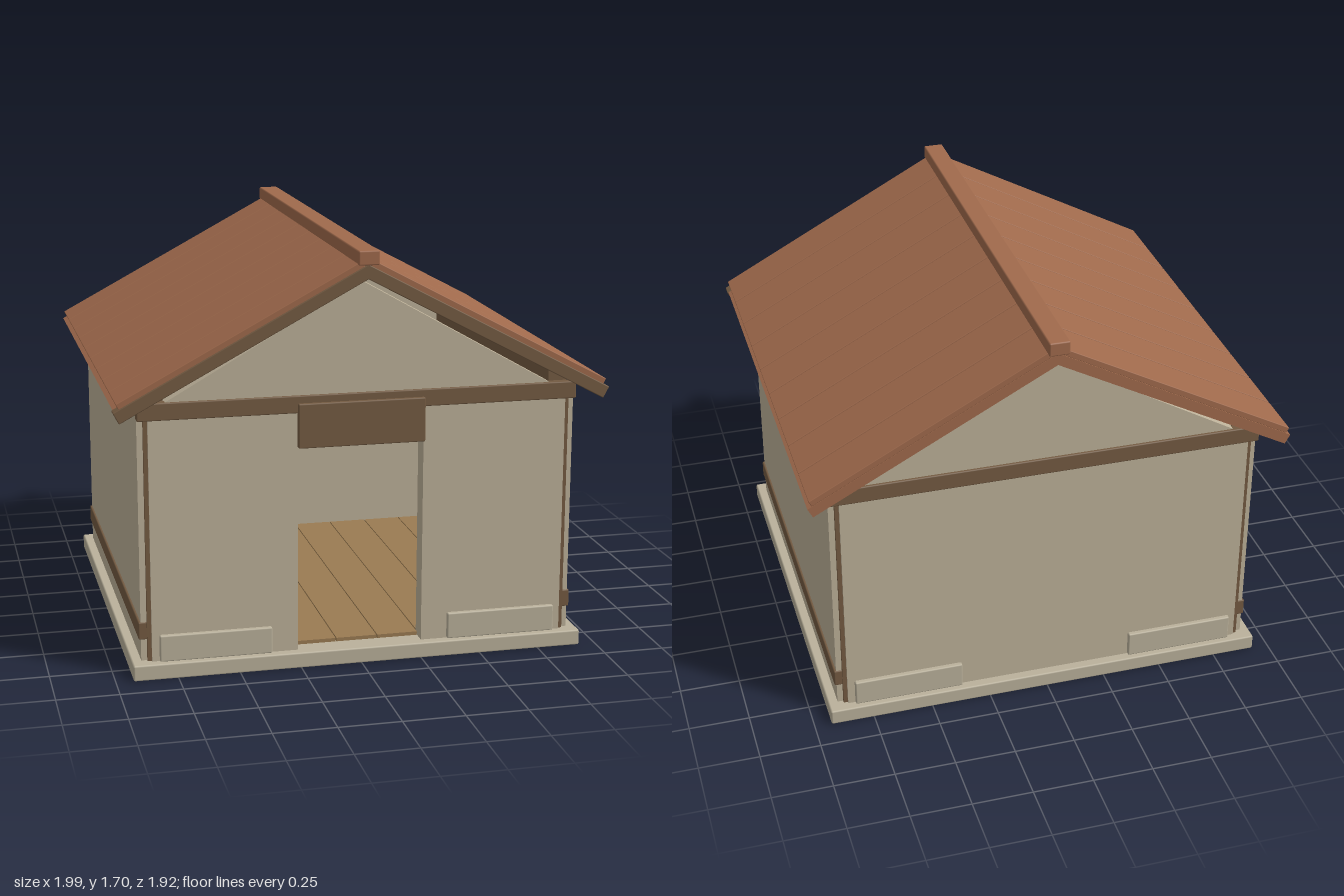
import * as THREE from 'three';
import { RoundedBoxGeometry } from 'three/addons/geometries/RoundedBoxGeometry.js';

const material = (name, color) => Object.assign(new THREE.MeshStandardMaterial({ color }), { name });

export function createModel() {
  const plaster = material('plaster', 0xbdb199);
  const stone = material('stone', 0xbab19b);
  const timber = material('dark timber', 0x745b42);
  const roofing = material('roof red', 0xa06a4c);
  const flooring = material('floor wood', 0x9a7b52);
  const linen = material('linen', 0xc6bca4);

  const model = new THREE.Group();
  model.name = 'hut';

  // box given by its extents; bevel > 0 softens the edges
  function block(name, mat, [x0, x1], [y0, y1], [z0, z1], bevel = 0, parent = model) {
    const size = [x1 - x0, y1 - y0, z1 - z0];
    const geo = bevel
      ? new RoundedBoxGeometry(...size, 1, bevel)
      : new THREE.BoxGeometry(...size);
    const mesh = new THREE.Mesh(geo, mat);
    mesh.position.set((x0 + x1) / 2, (y0 + y1) / 2, (z0 + z1) / 2);
    mesh.name = name;
    parent.add(mesh);
    return mesh;
  }
  // extents on one side of the centre plane
  const span = (side, near, far) => (side > 0 ? [near, far] : [-far, -near]);

  // base and floor
  block('foundation', stone, [-0.93, 0.93], [0, 0.065], [-0.885, 0.885], 0.007);
  for (let i = -4; i <= 4; i++) {
    const x = i * 0.172;
    block('floorPlank', flooring, [x - 0.084, x + 0.084], [0.06, 0.08], [-0.79, 0.79]);
  }

  // front wall around the doorway, and solid back wall
  for (const s of [-1, 1]) block('frontWall', plaster, span(s, 0.257, 0.85), [0.065, 1.1], [0.77, 0.847]);
  block('doorHeader', plaster, [-0.257, 0.257], [0.93, 1.1], [0.77, 0.847]);
  block('backWall', plaster, [-0.85, 0.85], [0.065, 1.1], [-0.847, -0.77]);
  block('doorLintel', timber, [-0.258, 0.258], [0.91, 1.09], [0.84, 0.873], 0.005);

  // gable triangles
  const triangle = new THREE.Shape([
    new THREE.Vector2(-0.85, 1.08), new THREE.Vector2(0.85, 1.08), new THREE.Vector2(0, 1.565),
  ]);
  for (const z of [0.77, -0.845]) {
    const gable = new THREE.Mesh(new THREE.ExtrudeGeometry(triangle, { depth: 0.075, bevelEnabled: false }), plaster);
    gable.position.z = z;
    gable.name = 'gable';
    model.add(gable);
  }

  for (const s of [-1, 1]) {
    // side walls with their bands and top plates
    block('sideWall', plaster, span(s, 0.815, 0.891), [0.065, 1.1], [-0.825, 0.825]);
    block('sideBand', timber, span(s, 0.845, 0.9), [0.153, 0.225], [-0.829, 0.829], 0.005);
    block('topPlate', timber, span(s, 0.785, 0.86), [1.06, 1.165], [-0.82, 0.82]);
    // tie beams across front and back
    block('tieBeam', timber, [-0.893, 0.893], [1.05, 1.12], span(s, 0.815, 0.856), 0.005);
    for (const f of [-1, 1]) {
      block('cornerPost', timber, span(s, 0.8, 0.867), [0.065, 1.06], span(f, 0.78, 0.838));
      block('kickPlate', stone, span(s, 0.365, 0.82), [0.066, 0.175], span(f, 0.83, 0.865), 0.006);
    }
  }

  // roof slopes: each built level along +x from the ridge, then tilted
  const pitch = Math.atan(0.534);
  for (const s of [-1, 1]) {
    const slope = new THREE.Group();
    slope.name = s > 0 ? 'leftRoof' : 'rightRoof';
    slope.position.y = 1.643;
    slope.rotation.z = -s * pitch;
    model.add(slope);
    block('roofDeck', roofing, span(s, 0, 1.122), [-0.045, -0.001], [-0.94, 0.945], 0, slope);
    block('bargeBoard', timber, span(s, 0, 1.128), [-0.049, 0.002], [0.9, 0.952], 0.004, slope);
    for (let i = 0; i < 9; i++) {
      const z = -0.942 + i * 0.21;
      block('roofPlank', roofing, span(s, 0.015, 1.102), [-0.001, 0.025], [z + 0.003, z + 0.207], 0.003, slope);
    }
  }
  block('ridgeCap', roofing, [-0.042, 0.042], [1.643, 1.7], [-0.962, 0.962], 0.006);

  // bed against the right wall
  block('bedFrame', timber, [-0.75, -0.34], [0.08, 0.205], [-0.7, 0.135]);
  block('mattress', linen, [-0.76, -0.33], [0.205, 0.25], [-0.71, 0.15], 0.012);

  return model;
}
